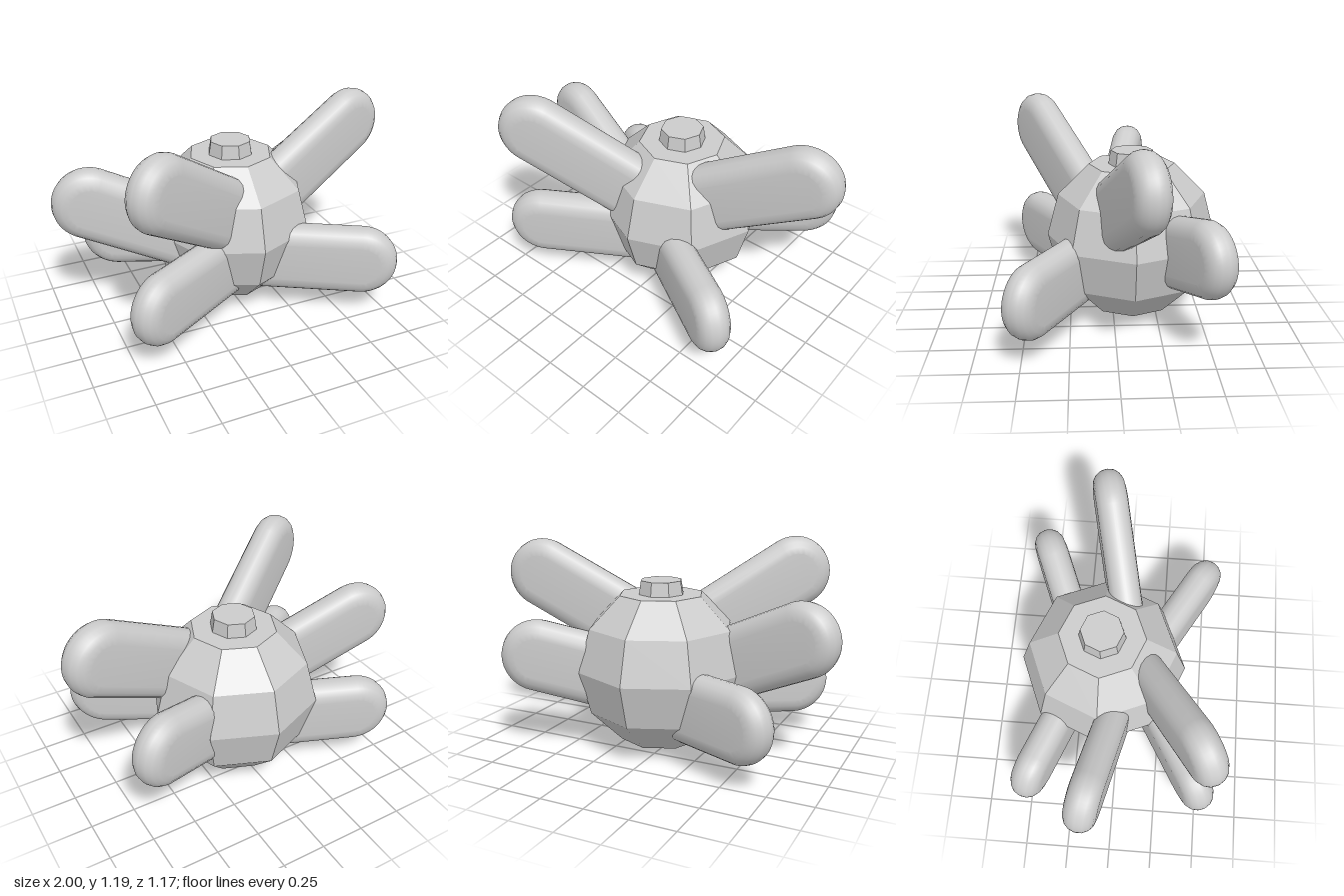
import * as THREE from 'three';
import { toCreasedNormals } from 'three/addons/utils/BufferGeometryUtils.js';

const grey = (options = {}) => new THREE.MeshStandardMaterial({ color: 0xcccccc, ...options });

const CENTRE = new THREE.Vector3(0.025, 0.483, -0.105);
const BODY_RADIUS = 0.48;
const LEG_RADIUS = 0.204;
const LEG_HALF_THICKNESS = 0.09;

// Name, centre of the outer rounded end, and a point on the axis inside the body
const LEGS = [
  ['frontLeftLeg', [0.607, 0.338, 0.433], [0.1, 0.338, 0.14]],
  ['middleLeftLeg', [0.8, 0.961, -0.117], [0.16, 0.61, 0.035]],
  ['backLeftLeg', [0.625, 0.556, -0.452], [0.14, 0.43, -0.25]],
  ['frontRightLeg', [-0.587, 0.338, 0.433], [-0.1, 0.338, 0.145]],
  ['raisedFrontRightLeg', [-0.573, 0.986, 0.435], [-0.075, 0.623, 0.14]],
  ['middleRightLeg', [-0.8, 0.726, -0.125], [-0.14, 0.417, 0.02]],
  ['backRightLeg', [-0.58, 0.338, -0.456], [-0.083, 0.338, -0.255]],
];

// A flat bar with round ends and fully rounded edges, lying along y and thin in z
function legGeometry(length) {
  const r = LEG_RADIUS - LEG_HALF_THICKNESS;
  const outline = new THREE.Shape();
  outline.absarc(0, length / 2, r, 0, Math.PI);
  outline.absarc(0, -length / 2, r, Math.PI, Math.PI * 2);
  outline.closePath();
  const depth = 0.01;
  const geometry = new THREE.ExtrudeGeometry(outline, {
    depth,
    curveSegments: 12,
    bevelSegments: 4,
    bevelSize: LEG_HALF_THICKNESS,
    bevelThickness: LEG_HALF_THICKNESS - depth / 2,
  });
  geometry.translate(0, 0, -depth / 2);
  return toCreasedNormals(geometry, 0.9);
}

// Place a leg between two points, its broad side kept upright
function makeLeg(name, outer, inner, material) {
  const a = new THREE.Vector3(...inner);
  const b = new THREE.Vector3(...outer);
  const along = b.clone().sub(a);
  const length = along.length();
  along.normalize();
  const thin = along.clone().cross(new THREE.Vector3(0, 1, 0)).normalize();
  const broad = along.clone().cross(thin);

  const leg = new THREE.Mesh(legGeometry(length), material);
  leg.name = name;
  leg.quaternion.setFromRotationMatrix(new THREE.Matrix4().makeBasis(broad, along, thin));
  leg.position.copy(a).add(b).multiplyScalar(0.5);
  return leg;
}

export function createModel() {
  const model = new THREE.Group();
  model.name = 'leggedBall';
  const faceted = grey({ flatShading: true });
  const smooth = grey();

  // Eight-sided ball, cut flat at the top
  const profile = [];
  for (let i = 0; i <= 5; i++) {
    const angle = (i * Math.PI) / 6;
    profile.push(new THREE.Vector2(BODY_RADIUS * Math.sin(angle), -BODY_RADIUS * Math.cos(angle)));
  }
  profile.push(new THREE.Vector2(0, profile[5].y));
  const body = new THREE.Mesh(new THREE.LatheGeometry(profile, 8), faceted);
  body.name = 'body';
  body.position.copy(CENTRE);
  model.add(body);

  // Small tapered cap on the flat top
  const cap = new THREE.Mesh(new THREE.CylinderGeometry(0.118, 0.13, 0.077, 8), faceted);
  cap.name = 'topCap';
  cap.position.set(CENTRE.x, 0.937, CENTRE.z);
  model.add(cap);

  // Legs around the body
  for (const [name, outer, inner] of LEGS) model.add(makeLeg(name, outer, inner, smooth));

  return model;
}
